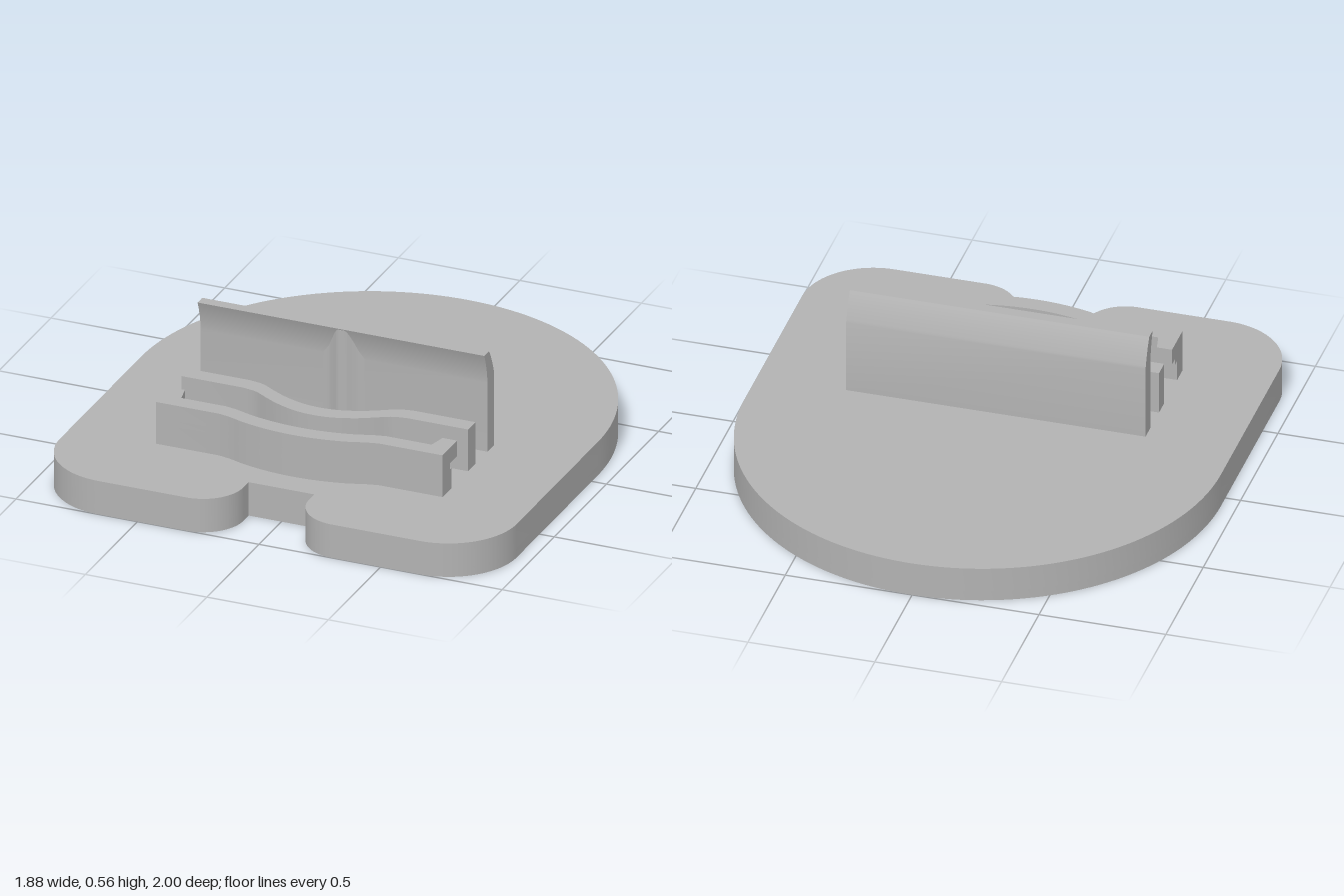
import * as THREE from 'three';
import { toCreasedNormals } from 'three/addons/utils/BufferGeometryUtils.js';

const H = Math.PI / 2;
const material = new THREE.MeshStandardMaterial({ color: 0xb2b2b2 });
material.name = 'grey plastic';

function part(name, geometry) {
  const mesh = new THREE.Mesh(toCreasedNormals(geometry, 0.5), material);
  mesh.name = name;
  return mesh;
}

// Extrude a plan outline, drawn as (x, -z), from height y0 to y1
function slab(shape, y0, y1) {
  const g = new THREE.ExtrudeGeometry(shape, { depth: y1 - y0, bevelEnabled: false, curveSegments: 40 });
  return g.rotateX(-H).translate(0, y0, 0);
}

function planShape(points) {
  return new THREE.Shape(points.map(([x, z]) => new THREE.Vector2(x, -z)));
}

// Left-to-right curve through mirrored [x, offset] points
function mirroredCurve(half) {
  const pts = half.slice(1).reverse().map(([x, o]) => [-x, o]).concat(half);
  return new THREE.SplineCurve(pts.map(([x, o]) => new THREE.Vector2(x, o)))
    .getPoints(48).map((p) => [p.x, p.y]);
}

const shift = (curve, z) => curve.map(([x, o]) => [x, z + o]);

// Rounded-back plate with a notch in its front edge
function baseShape() {
  const s = new THREE.Shape();
  s.moveTo(-0.94, 0.06);
  s.absarc(0, 0.06, 0.94, Math.PI, 0, true);
  s.lineTo(0.94, -0.72);
  s.absarc(0.66, -0.72, 0.28, 0, -H, true);
  s.absarc(0.3, -0.835, 0.165, -H, -Math.PI, true);
  s.lineTo(0.135, -0.785);
  s.lineTo(-0.135, -0.785);
  s.absarc(-0.3, -0.835, 0.165, 0, -H, true);
  s.absarc(-0.66, -0.72, 0.28, -H, -Math.PI, true);
  s.closePath();
  return s;
}

export function createModel() {
  const model = new THREE.Group();
  model.name = 'stand';

  // Base: solid top layer over a lower layer with a round recess
  const lower = baseShape();
  lower.holes.push(new THREE.Path().absarc(0, 0.06, 0.76, 0, Math.PI * 2, false));
  model.add(part('baseTop', slab(baseShape(), 0.04, 0.14)));
  model.add(part('baseRim', slab(lower, 0, 0.04)));

  // Back wall with a lip that curls forward at the top
  const p = new THREE.Shape();
  p.moveTo(0.12, 0.14);
  p.lineTo(0.185, 0.14);
  p.lineTo(0.185, 0.43);
  p.quadraticCurveTo(0.188, 0.49, 0.215, 0.555);
  p.lineTo(0.17, 0.555);
  p.quadraticCurveTo(0.14, 0.51, 0.12, 0.44);
  p.closePath();
  const back = new THREE.ExtrudeGeometry(p, { depth: 1.18, bevelEnabled: false, curveSegments: 12 });
  model.add(part('backWall', back.rotateY(-H).translate(0.59, 0, 0)));

  // Rib up the middle of the back wall
  const bump = mirroredCurve([[0, 0.03], [0.02, 0.026], [0.04, 0.014], [0.06, 0.004], [0.085, 0]]);
  model.add(part('centreRib', slab(planShape([[-0.085, 0.17], ...shift(bump, 0.185), [0.085, 0.17]]), 0.14, 0.55)));

  // Middle wall, bowed towards the front
  const bow = mirroredCurve([[0, 0.115], [0.08, 0.106], [0.16, 0.078], [0.22, 0.046], [0.28, 0.012], [0.34, 0]]);
  model.add(part('middleWall', slab(planShape([
    [-0.59, 0.37], ...shift(bow, 0.37), [0.59, 0.37],
    [0.59, 0.3], ...shift(bow, 0.3).reverse(), [-0.59, 0.3],
  ]), 0.14, 0.315)));

  // Front wall in layers, so that its end arms are undercut
  const gentle = mirroredCurve([[0, 0.06], [0.1, 0.054], [0.2, 0.036], [0.28, 0.011], [0.33, 0]]);
  const frontWall = new THREE.Group();
  frontWall.name = 'frontWall';
  const layers = [
    // bottom, top, back of right arm, back of left arm
    ['armFoot', 0.14, 0.225, 0.543, 0.53],
    ['armSlot', 0.225, 0.25, 0.515, 0.543],
    ['armHook', 0.25, 0.315, 0.475, 0.475],
  ];
  for (const [name, y0, y1, zr, zl] of layers) {
    frontWall.add(part(name, slab(planShape([
      [-0.59, 0.615], ...shift(gentle, 0.615), [0.59, 0.615],
      [0.59, zl], [0.53, zl], [0.515, 0.545],
      ...shift(gentle, 0.545).reverse(),
      [-0.515, 0.545], [-0.53, zr], [-0.59, zr],
    ]), y0, y1)));
  }
  model.add(frontWall);
  return model;
}
